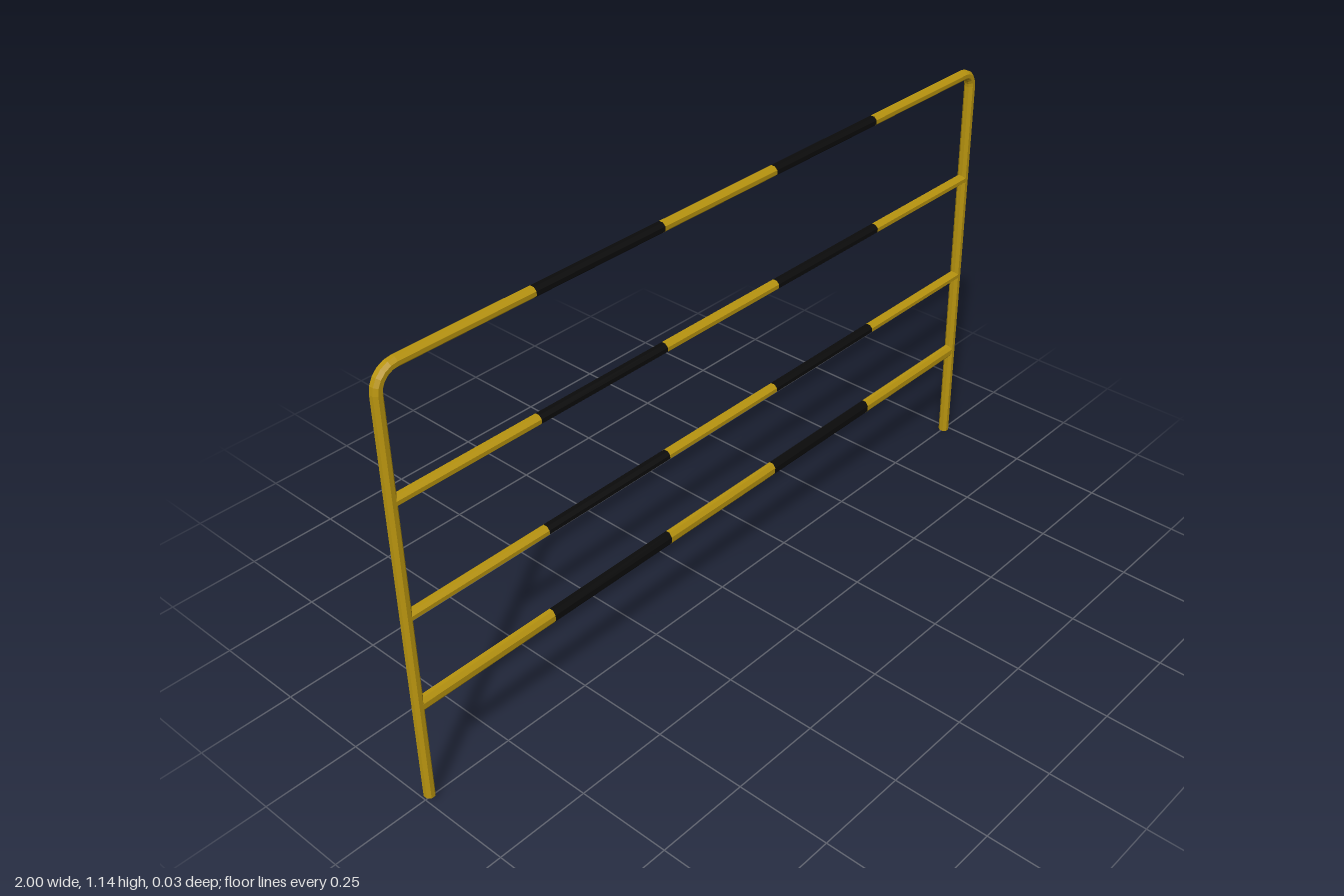
import * as THREE from 'three';

const SIDES = 8;
const R = 0.0125; // in-plane half thickness of a pipe
const DEPTH = 0.0135; // half thickness along z

const yellow = new THREE.MeshStandardMaterial({ color: 0xb8940f, flatShading: true });
const black = new THREE.MeshStandardMaterial({ color: 0x0b0b0b, flatShading: true });

// Sweeps an eight-sided section along points in the xy plane, mitred at corners and capped.
function pipe(points, half = R) {
  const pos = [], index = [];
  const last = points.length - 1;
  const k = 1 / Math.cos(Math.PI / SIDES);
  points.forEach((p, i) => {
    const a = points[Math.max(i - 1, 0)], b = points[Math.min(i + 1, last)];
    const dirIn = p.clone().sub(i ? a : p).normalize();
    const dirOut = b.clone().sub(i < last ? p : b).normalize();
    const t = dirIn.clone().add(dirOut).normalize();
    const mitre = 1 / t.dot(i ? dirIn : dirOut);
    for (let j = 0; j < SIDES; j++) {
      const ang = ((j + 0.5) / SIDES) * Math.PI * 2;
      const u = Math.cos(ang) * half * k * mitre;
      pos.push(p.x - t.y * u, p.y + t.x * u, Math.sin(ang) * DEPTH * k);
    }
  });
  for (let i = 0; i < last; i++) {
    for (let j = 0; j < SIDES; j++) {
      const a = i * SIDES + j, b = i * SIDES + ((j + 1) % SIDES);
      index.push(a, b, a + SIDES, b, b + SIDES, a + SIDES);
    }
  }
  for (let j = 1; j < SIDES - 1; j++) {
    const e = last * SIDES;
    index.push(0, j + 1, j, e, e + j, e + j + 1);
  }
  const geo = new THREE.BufferGeometry();
  geo.setAttribute('position', new THREE.Float32BufferAttribute(pos, 3));
  geo.setIndex(index);
  const flat = geo.toNonIndexed();
  flat.computeVertexNormals();
  return flat;
}

const v = (x, y) => new THREE.Vector2(x, y);

// Quarter bend around (cx, cy) from one angle to another.
function bend(cx, cy, r, from, to, steps = 5) {
  return Array.from({ length: steps + 1 }, (_, i) => {
    const a = from + ((to - from) * i) / steps;
    return v(cx + r * Math.cos(a), cy + r * Math.sin(a));
  });
}

export function createModel() {
  const model = new THREE.Group();
  const add = (parent, name, geo, mat) => {
    const mesh = new THREE.Mesh(geo, mat);
    mesh.name = name;
    parent.add(mesh);
  };

  // Straight rail cut into alternating yellow and black bands
  const bands = (parent, stops, y, half, firstBlack) => {
    for (let i = 0; i < stops.length - 1; i++) {
      const dark = (i % 2 === 0) === firstBlack;
      add(parent, dark ? 'blackBand' : 'yellowBand',
        pipe([v(stops[i], y), v(stops[i + 1], y)], half), dark ? black : yellow);
    }
  };

  // Outer frame: two posts, each bending into the top rail; the left post splays slightly
  const top = 1.13;
  const frame = new THREE.Group();
  frame.name = 'frame';
  add(frame, 'rightPost', pipe([
    v(-0.987, 0.008), ...bend(-0.937, top - 0.05, 0.05, Math.PI, Math.PI / 2), v(-0.58, top),
  ]), yellow);
  add(frame, 'leftPost', pipe([
    v(0.55, top), ...bend(0.932, top - 0.038, 0.038, Math.PI / 2, 0), v(0.986, 0),
  ]), yellow);
  bands(frame, [-0.58, -0.2, 0.175, 0.55], top, R, true);
  model.add(frame);

  // Cross rails; the lowest one is taller
  const rails = [
    ['upperRail', 0.823, R],
    ['middleRail', 0.526, R],
    ['lowerRail', 0.278, 0.018],
  ];
  for (const [name, y, half] of rails) {
    const rail = new THREE.Group();
    rail.name = name;
    bands(rail, [-0.982, -0.59, -0.2, 0.19, 0.58, 0.974], y, half, false);
    model.add(rail);
  }
  return model;
}
